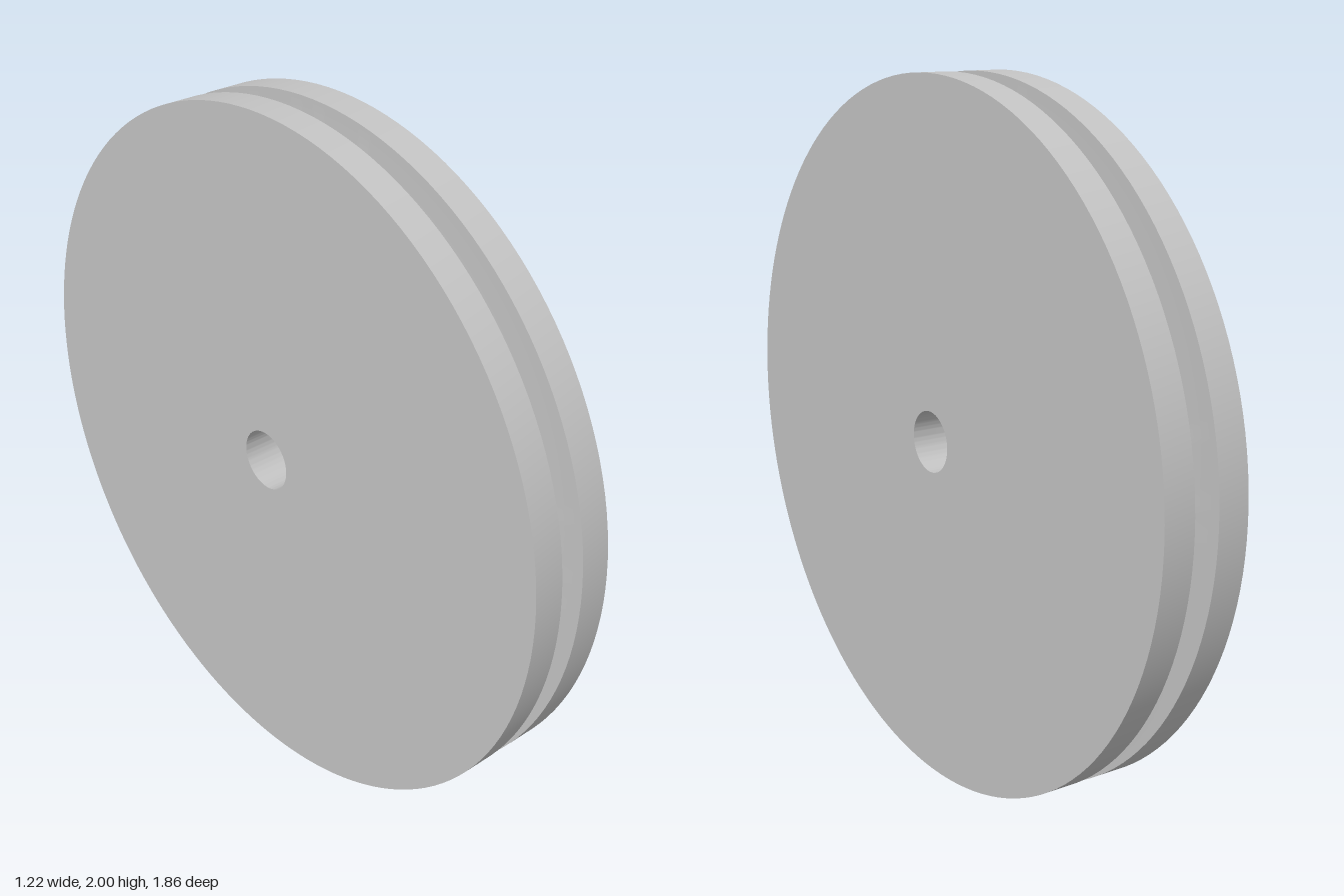
import * as THREE from 'three';
import { toCreasedNormals } from 'three/addons/utils/BufferGeometryUtils.js';

export function createModel() {
  const model = new THREE.Group();
  model.name = 'pulley';

  const grey = new THREE.MeshStandardMaterial({ color: 0xc4c4c4 });
  grey.name = 'plain grey';

  const radius = 1;
  const bore = 0.087;         // axle hole radius
  const half = 0.128;         // half thickness
  const groove = 0.037;       // half width of the rope groove
  const grooveCentre = 0.85;  // radius where the rounded groove bottom begins

  // Closed profile: lower face, rim, round-bottomed groove, rim, upper face, bore
  const profile = [
    [bore, -half], [radius, -half], [radius, -groove],
  ];
  const steps = 14;
  for (let i = 0; i <= steps; i++) {
    const a = -Math.PI / 2 + (Math.PI * i) / steps;
    profile.push([grooveCentre - groove * Math.cos(a), groove * Math.sin(a)]);
  }
  profile.push([radius, groove], [radius, half], [bore, half], [bore, -half]);

  const lathe = new THREE.LatheGeometry(profile.map(([r, y]) => new THREE.Vector2(r, y)), 144);
  const wheel = new THREE.Mesh(toCreasedNormals(lathe, Math.PI / 6), grey);
  wheel.name = 'groovedWheel';

  // Stand the wheel on its rim, turned 30 degrees about the vertical
  wheel.rotation.set(0, Math.PI / 6, -Math.PI / 2);
  wheel.position.y = radius;
  model.add(wheel);

  return model;
}
